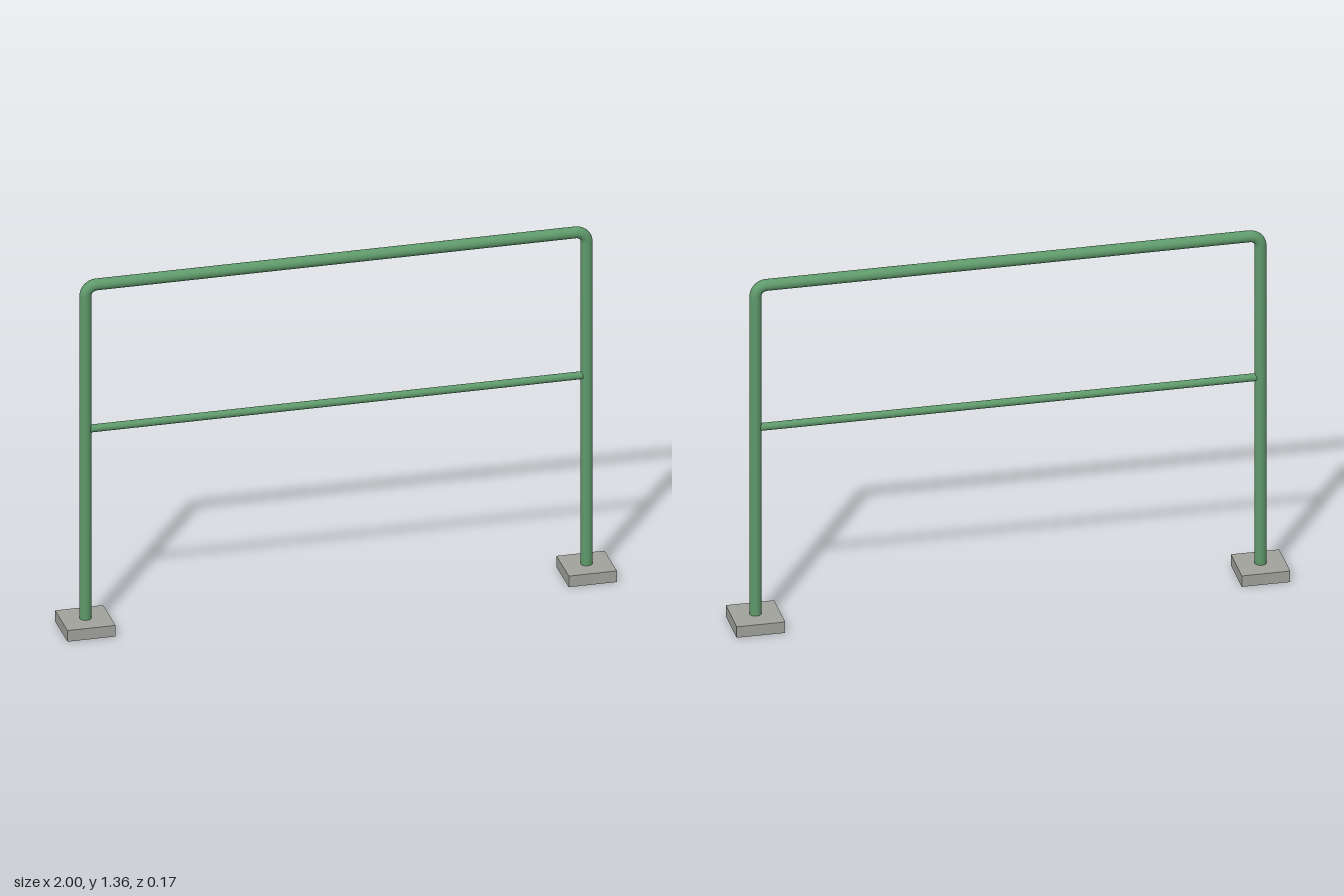
import * as THREE from 'three';

const POST_X = 0.912, PIPE_R = 0.021, TOP_Y = 1.334, BEND = 0.04;
const RAIL_Y = 0.777, RAIL_R = 0.014;
const BASE_W = 0.175, BASE_H = 0.044;

export function createModel() {
  const green = new THREE.MeshStandardMaterial({ color: 0x5f9a6b });
  green.name = 'green paint';
  const grey = new THREE.MeshStandardMaterial({ color: 0xa3a39d });
  grey.name = 'concrete grey';

  const model = new THREE.Group();
  model.name = 'handrail';
  const add = (name, geometry, material, x, y) => {
    const mesh = new THREE.Mesh(geometry, material);
    mesh.name = name;
    mesh.position.set(x, y, 0);
    model.add(mesh);
    return mesh;
  };

  // Posts, bends and footings, mirrored left and right
  for (const [side, s] of [['left', 1], ['right', -1]]) {
    const postH = TOP_Y - BEND;
    add(side + 'Post', new THREE.CylinderGeometry(PIPE_R, PIPE_R, postH, 24), green, s * POST_X, postH / 2);

    // Quarter bend joining the post to the top rail
    const bend = add(side + 'Bend', new THREE.TorusGeometry(BEND, PIPE_R, 24, 12, Math.PI / 2),
      green, s * (POST_X - BEND), TOP_Y - BEND);
    if (s < 0) bend.rotation.y = Math.PI;

    // Footing sits a hair above the post's end, which shows underneath
    add(side + 'Footing', new THREE.BoxGeometry(BASE_W, BASE_H - 0.001, BASE_W), grey,
      s * POST_X, (BASE_H + 0.001) / 2);
  }

  // Horizontal rails
  const bar = (name, radius, length, y) => {
    add(name, new THREE.CylinderGeometry(radius, radius, length, 24), green, 0, y).rotation.z = Math.PI / 2;
  };
  bar('topRail', PIPE_R, 2 * (POST_X - BEND), TOP_Y);
  bar('middleRail', RAIL_R, 2 * POST_X, RAIL_Y);

  return model;
}
